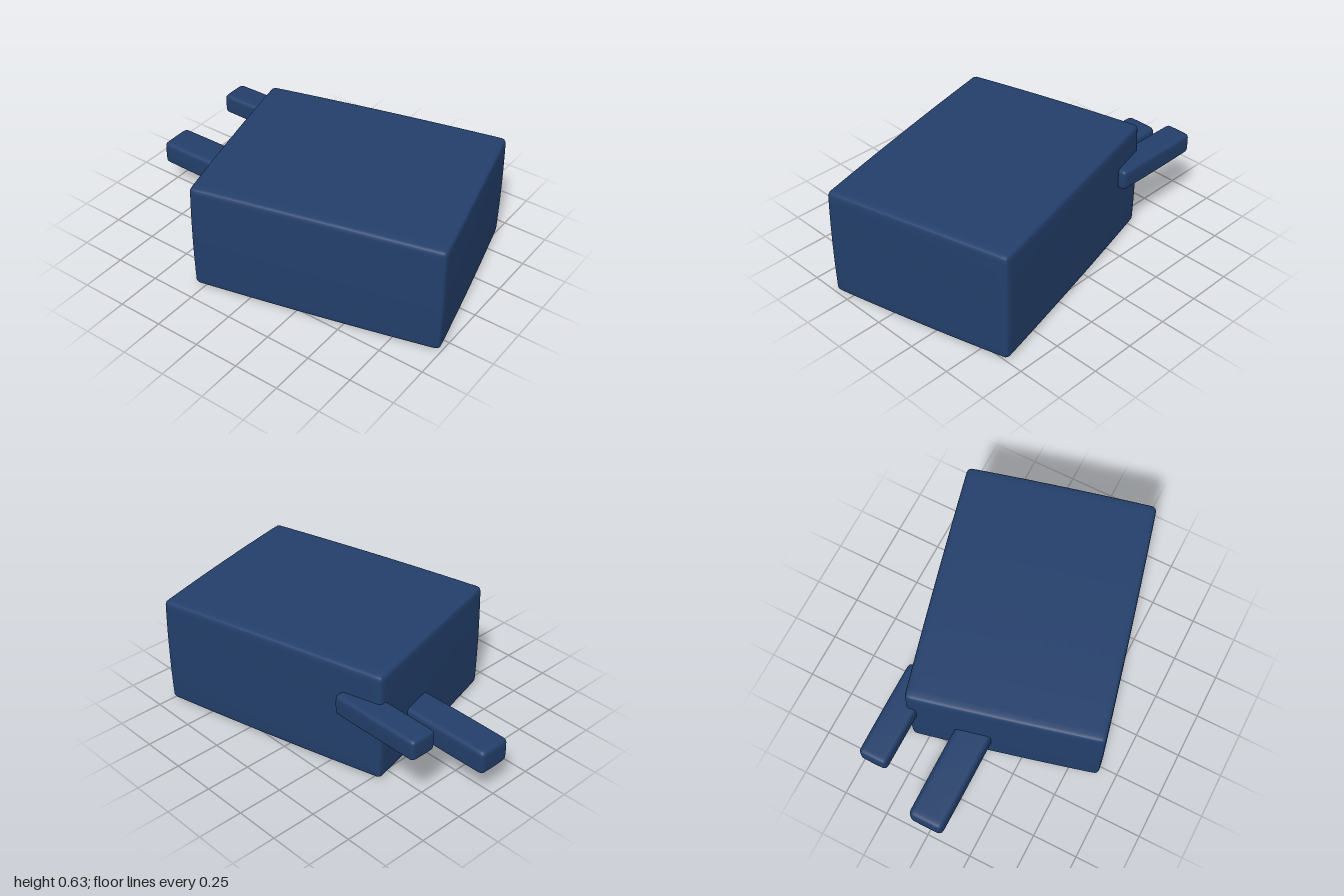
import * as THREE from 'three';
import { mergeVertices } from 'three/addons/utils/BufferGeometryUtils.js';

// Soft-edged box with faintly bulging faces
function softBox(w, h, d, radius, bulge) {
  const half = [w / 2, h / 2, d / 2];
  const n = 24;
  let geo = new THREE.BoxGeometry(2, 2, 2, n, n, n);
  geo.deleteAttribute('uv');
  geo.deleteAttribute('normal');
  geo = mergeVertices(geo);
  const pos = geo.attributes.position;
  const p = new THREE.Vector3(), core = new THREE.Vector3();
  const limit = new THREE.Vector3(...half).subScalar(radius + bulge);
  const lower = limit.clone().negate();
  for (let i = 0; i < pos.count; i++) {
    // Crowd the vertices towards the edges
    const u = [pos.getX(i), pos.getY(i), pos.getZ(i)].map((v) => Math.sin(v * Math.PI / 2));
    p.set(...u.map((v, k) => v * (half[k] - bulge)));
    core.copy(p).clamp(lower, limit);
    p.sub(core).normalize().multiplyScalar(radius).add(core);
    const [x, y, z] = u;
    p.x += bulge * x * (1 - y * y * 0.5 - z * z * 0.5);
    p.y += bulge * y * (1 - x * x * 0.5 - z * z * 0.5);
    p.z += bulge * z * (1 - x * x * 0.5 - y * y * 0.5);
    pos.setXYZ(i, p.x, p.y, p.z);
  }
  geo.computeVertexNormals();
  return geo;
}

export function createModel() {
  const group = new THREE.Group();
  const blue = new THREE.MeshStandardMaterial({ color: 0x233f6b });

  function add(name, geo, x, y, z) {
    const mesh = new THREE.Mesh(geo, blue);
    mesh.name = name;
    mesh.position.set(x, y, z);
    group.add(mesh);
    return mesh;
  }

  // Main block, turned about the vertical axis
  const body = add('body', softBox(1.35, 0.633, 1.045, 0.025, 0.008), 0.225, 0.3165, 0);
  body.rotation.y = 0.243;

  // Two prongs of different size
  add('frontProng', softBox(0.67, 0.141, 0.192, 0.024, 0.003), -0.665, 0.229, -0.003);
  add('backProng', softBox(0.54, 0.12, 0.156, 0.02, 0.003), -0.592, 0.412, -0.366);

  return group;
}
